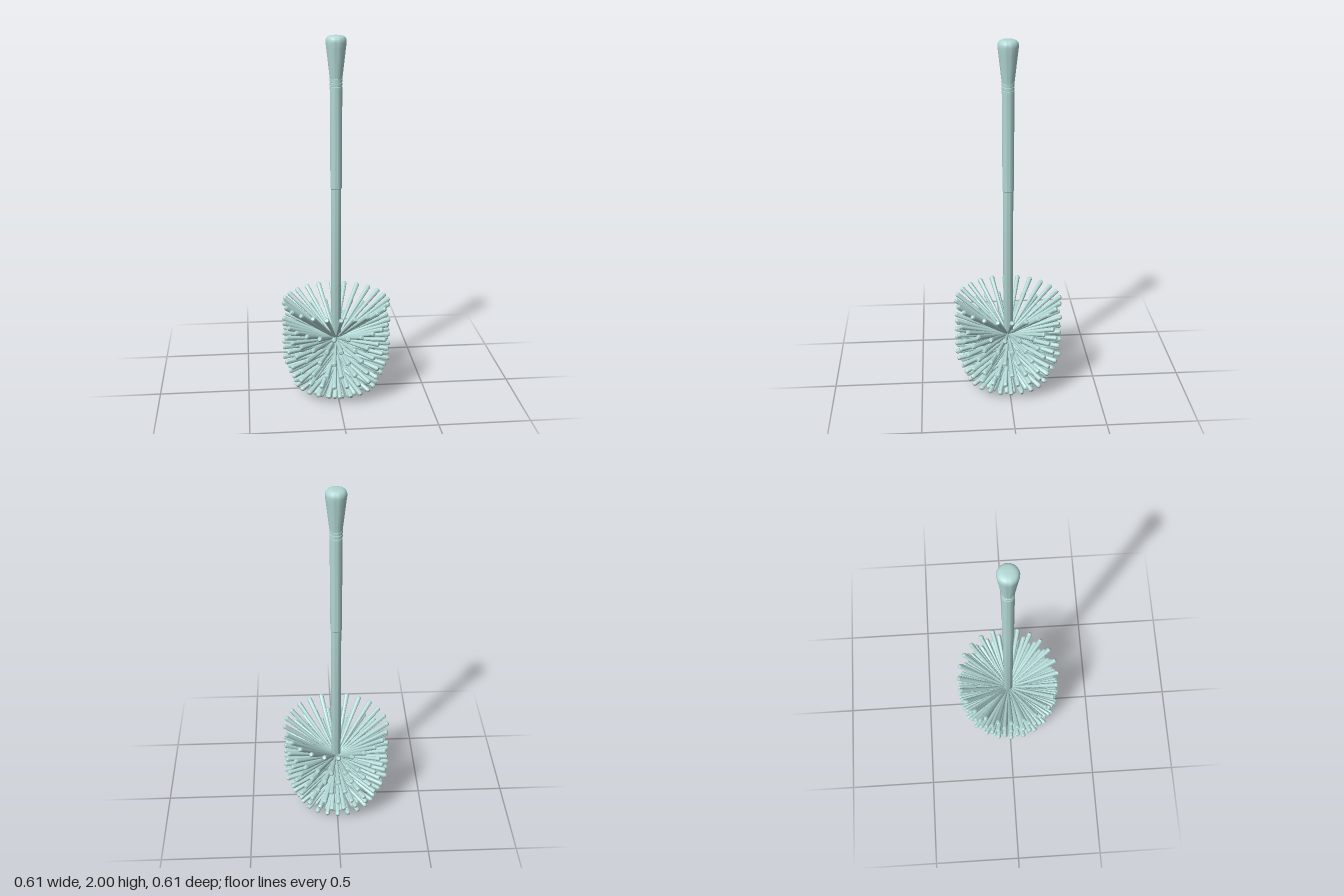
import * as THREE from 'three';
import { mergeGeometries, toCreasedNormals } from 'three/addons/utils/BufferGeometryUtils.js';

const material = new THREE.MeshStandardMaterial({ color: 0xb2d8d5 });

function lathe(points, segments, crease) {
  const geometry = new THREE.LatheGeometry(points.map(([r, y]) => new THREE.Vector2(r, y)), segments);
  return toCreasedNormals(geometry, crease);
}

function addMesh(parent, name, geometry) {
  const mesh = new THREE.Mesh(geometry, material);
  mesh.name = name;
  parent.add(mesh);
}

// One bristle: thin at the root, widening to a bevelled tip
function bristle(root, tip) {
  const dir = tip.clone().sub(root);
  const L = dir.length();
  const geometry = lathe([[0.005, 0], [0.0135, L - 0.016], [0.0145, L - 0.01], [0.009, L], [0, L]], 10, 0.65);
  geometry.applyQuaternion(new THREE.Quaternion().setFromUnitVectors(new THREE.Vector3(0, 1, 0), dir.normalize()));
  return geometry.translate(root.x, root.y, root.z);
}

// Ring of bristles fanning out from the core
function bristleTier(rootY, tipY, tipR, offset) {
  const count = 24;
  const parts = [];
  for (let i = 0; i < count; i++) {
    const a = ((i + offset) / count) * Math.PI * 2;
    const at = (r, y) => new THREE.Vector3(Math.sin(a) * r, y, Math.cos(a) * r);
    parts.push(bristle(at(0.008, rootY), at(tipR, tipY)));
  }
  return mergeGeometries(parts);
}

export function createModel() {
  const group = new THREE.Group();
  group.name = 'brush';

  // Flared grip with a rounded top
  addMesh(group, 'grip', lathe([
    [0.033, 1.775], [0.036, 1.8], [0.044, 1.87], [0.051, 1.93], [0.055, 1.962], [0.055, 1.973],
    [0.052, 1.984], [0.045, 1.993], [0.033, 1.998], [0.017, 2], [0, 2],
  ], 40, 0.6));

  // Grooved collar below the grip
  const collar = [];
  for (let i = 0; i < 3; i++) {
    const y = 1.72 + i * 0.02;
    collar.push([0.0335, y], [0.0335, y + 0.014], [0.031, y + 0.015], [0.031, y + 0.019]);
  }
  addMesh(group, 'collar', lathe([...collar, [0.033, 1.78]], 40, 0.6));

  // Two-stage shaft
  addMesh(group, 'shaft', lathe([
    [0, 0.305], [0.024, 0.305], [0.027, 0.315], [0.028, 1.18], [0.031, 1.184], [0.033, 1.72],
  ], 40, 0.6));

  // Slim core carrying the bristles
  addMesh(group, 'core', lathe([
    [0, 0.1], [0.01, 0.103], [0.016, 0.11], [0.018, 0.12], [0.018, 0.31],
  ], 24, 0.8));

  // Tiers: root height, tip height, tip radius; alternate tiers are staggered
  const tiers = [
    [0.31, 0.535, 0.3], [0.31, 0.425, 0.303], [0.305, 0.35, 0.303], [0.28, 0.28, 0.305],
    [0.235, 0.203, 0.303], [0.22, 0.125, 0.273], [0.145, 0.05, 0.24], [0.13, 0.009, 0.16],
  ];
  tiers.forEach(([rootY, tipY, tipR], i) =>
    addMesh(group, `bristleTier${i + 1}`, bristleTier(rootY, tipY, tipR, (i % 2) / 2)));

  return group;
}
